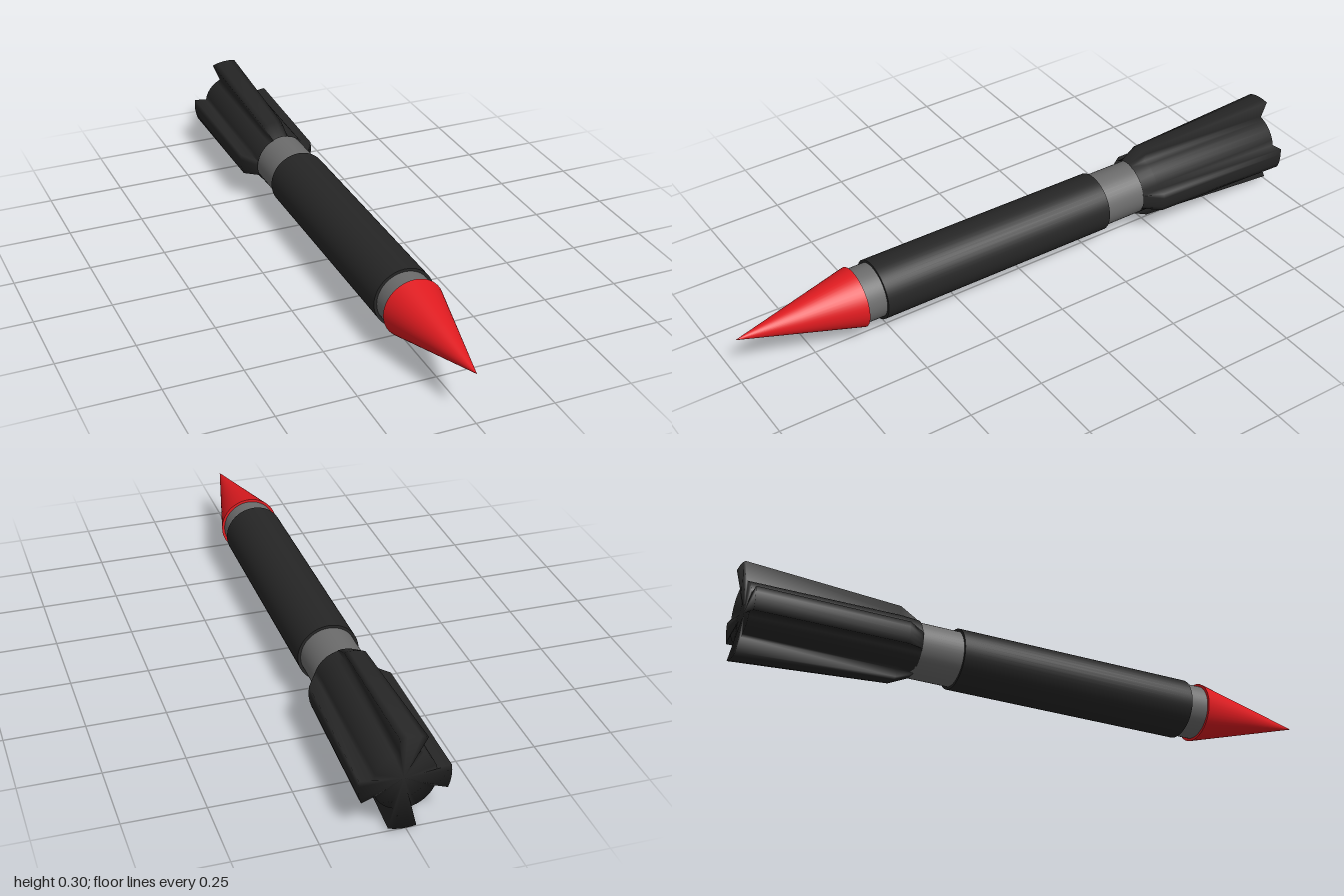
import * as THREE from 'three';

const AXIS_X = -0.005, AXIS_Y = 0.148;
const red = new THREE.MeshStandardMaterial({ color: 0xe01b20 });
const black = new THREE.MeshStandardMaterial({ color: 0x262626 });
const grey = new THREE.MeshStandardMaterial({ color: 0x6c6c6c });

function part(name, geometry, material) {
  const mesh = new THREE.Mesh(geometry, material);
  mesh.name = name;
  return mesh;
}

// Cylinder along z between two stations
function tube(name, radius, z0, z1, material) {
  const geo = new THREE.CylinderGeometry(radius, radius, z1 - z0, 48);
  geo.rotateX(Math.PI / 2);
  geo.translate(AXIS_X, AXIS_Y, (z0 + z1) / 2);
  return part(name, geo, material);
}

// Lathe along z for the nose; its axis leans up slightly towards the tip
function noseLathe(name, profile) {
  const geo = new THREE.LatheGeometry(profile.map(([r, h]) => new THREE.Vector2(r, h)), 48);
  geo.rotateX(Math.PI / 2);
  const p = geo.attributes.position;
  for (let i = 0; i < p.count; i++) p.setY(i, p.getY(i) + 0.043 * p.getZ(i));
  geo.translate(AXIS_X, AXIS_Y, 0.6);
  return part(name, geo, red);
}

// Tail: lofted cross-sections with four flaring wedge fins
function tailGeometry() {
  const fins = [-6, 96, 186, 274];
  const half = 16;
  const outline = []; // [angle, fin index or -1 for core]
  fins.forEach((a, f) => {
    outline.push([a - half - 0.8, -1]);
    for (let k = -2; k <= 2; k++) outline.push([a + (half * k) / 2, f]);
    const start = a + half + 0.8;
    const end = (f < 3 ? fins[f + 1] : fins[0] + 360) - half - 0.8;
    for (let k = 0; k < 6; k++) outline.push([start + ((end - start) * k) / 6, -1]);
  });
  // z, centre x, core radius, side fin radius, upper and lower fin radius
  const stations = [
    [-0.435, -0.005, 0.092, 0.094, 0.094],
    [-0.495, -0.008, 0.094, 0.130, 0.122],
    [-0.985, 0.0, 0.095, 0.137, 0.152],
  ];
  const pos = [], index = [], n = outline.length;
  stations.forEach(([z, cx, core, side, upper], s) => {
    for (const [deg, f] of outline) {
      const a = THREE.MathUtils.degToRad(deg);
      const r = f < 0 ? core : f % 2 ? upper : side;
      const back = s === 2 && f % 2 === 1 ? 0.015 : 0;
      pos.push(cx + r * Math.cos(a), 0.1515 + r * Math.sin(a), z - back);
    }
  });
  for (let s = 0; s < stations.length - 1; s++) {
    for (let j = 0; j < n; j++) {
      const k = (j + 1) % n, a = s * n + j, b = s * n + k;
      index.push(a, a + n, b, b, a + n, b + n);
    }
  }
  // Rear end, dished slightly
  const centre = pos.length / 3;
  pos.push(0, 0.1515, -0.975);
  for (let j = 0; j < n; j++) index.push(2 * n + ((j + 1) % n), 2 * n + j, centre);
  const geo = new THREE.BufferGeometry();
  geo.setAttribute('position', new THREE.Float32BufferAttribute(pos, 3));
  geo.setIndex(index);
  geo.computeVertexNormals();
  return geo;
}

export function createModel() {
  const group = new THREE.Group();
  group.name = 'rocket';

  // Nose cone with a flat rim overhanging the core
  const nose = new THREE.Group();
  nose.name = 'noseCone';
  nose.add(
    noseLathe('noseShell', [[0.098, 0], [0.049, 0.2], [0, 0.4]]),
    noseLathe('noseRim', [[0.067, 0], [0.098, 0]]),
  );

  group.add(
    nose,
    tube('innerCore', 0.089, -0.46, 0.6, grey),
    tube('bodySleeve', 0.098, -0.295, 0.535, black),
    part('finnedTail', tailGeometry(), black),
  );
  return group;
}
